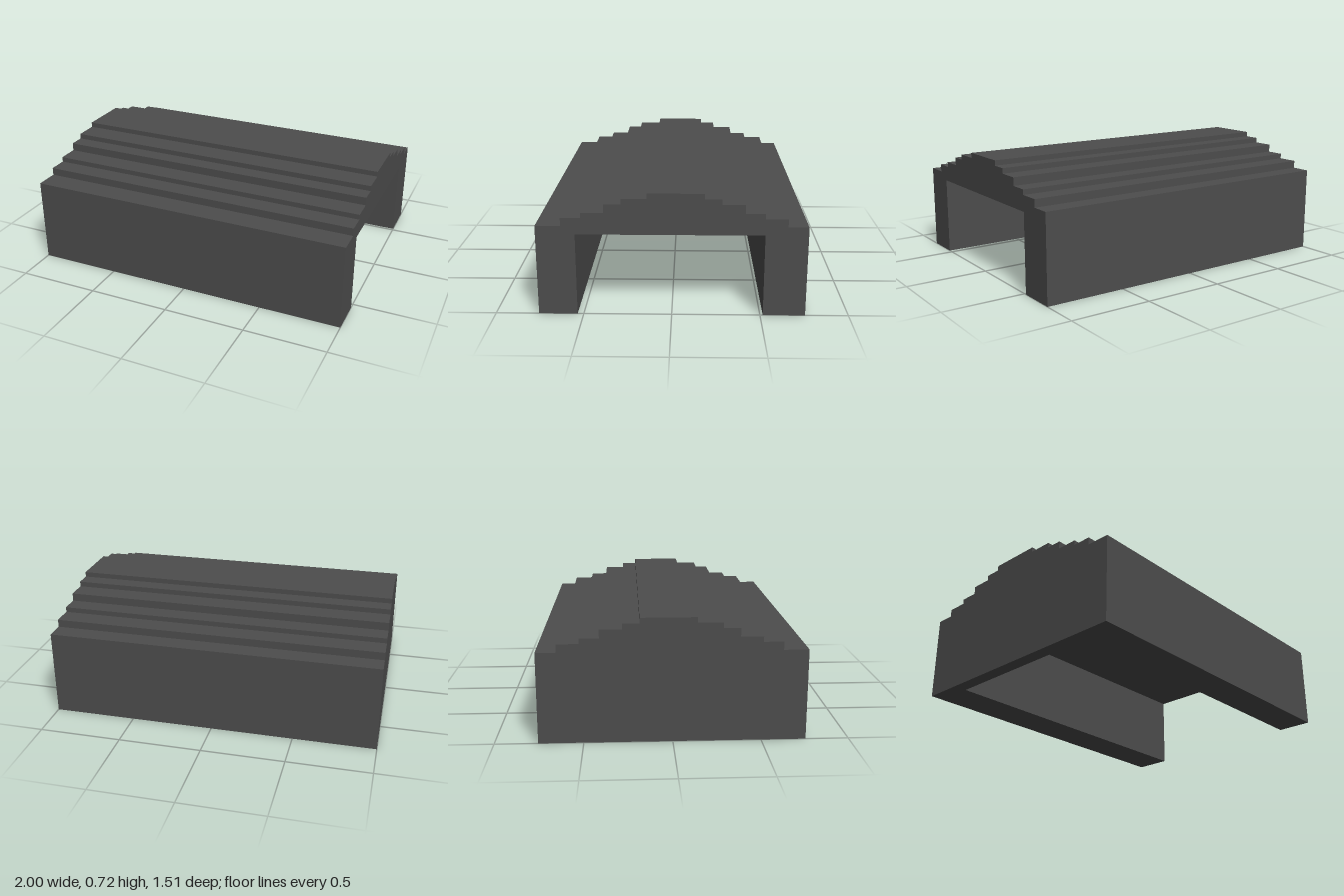
import * as THREE from 'three';

const HALF_DEPTH = 0.755;
const WALL_X = -0.92; // inner face of the closed end

// Tread edges (z) and heights of the stepped roof, from eaves to crown
const frontEdges = [HALF_DEPTH, 0.613, 0.5, 0.373, 0.278, 0.135];
const backEdges = [-HALF_DEPTH, -0.64, -0.515, -0.404, -0.277, -0.182];
const heights = [0.526, 0.573, 0.604, 0.653, 0.685, 0.716];

// Opening between the two long walls
const opening = { front: 0.535, back: -0.516, top: 0.478 };

// Roof outline as [z, y], front eaves over the crown to back eaves
function roofPoints() {
  const points = [];
  heights.forEach((y, i) => {
    if (i > 0) points.push([frontEdges[i], heights[i - 1]]);
    points.push([frontEdges[i], y]);
  });
  for (let i = heights.length - 1; i >= 0; i--) {
    points.push([backEdges[i], heights[i]]);
    if (i > 0) points.push([backEdges[i], heights[i - 1]]);
  }
  return points;
}

// Extrude a [z, y] outline along x
function extrudeAlongX(points, x0, x1) {
  const shape = new THREE.Shape(points.map(([z, y]) => new THREE.Vector2(-z, y)));
  const geometry = new THREE.ExtrudeGeometry(shape, { depth: x1 - x0, bevelEnabled: false });
  return geometry.rotateY(Math.PI / 2).translate(x0, 0, 0);
}

export function createModel() {
  const group = new THREE.Group();
  group.name = 'steppedShelter';
  const darkGrey = new THREE.MeshStandardMaterial({ color: 0x4d4d4d });
  darkGrey.name = 'darkGrey';

  const addPart = (name, geometry) => {
    const mesh = new THREE.Mesh(geometry, darkGrey);
    mesh.name = name;
    group.add(mesh);
  };

  const outline = [[HALF_DEPTH, 0], ...roofPoints(), [-HALF_DEPTH, 0]];

  // Long side walls and stepped roof, open at the left end and underneath
  addPart('archBody', extrudeAlongX([
    ...outline,
    [opening.back, 0], [opening.back, opening.top],
    [opening.front, opening.top], [opening.front, 0],
  ], WALL_X, 1));

  // Solid wall closing the other end
  addPart('endWall', extrudeAlongX(outline, -1, WALL_X));

  return group;
}
